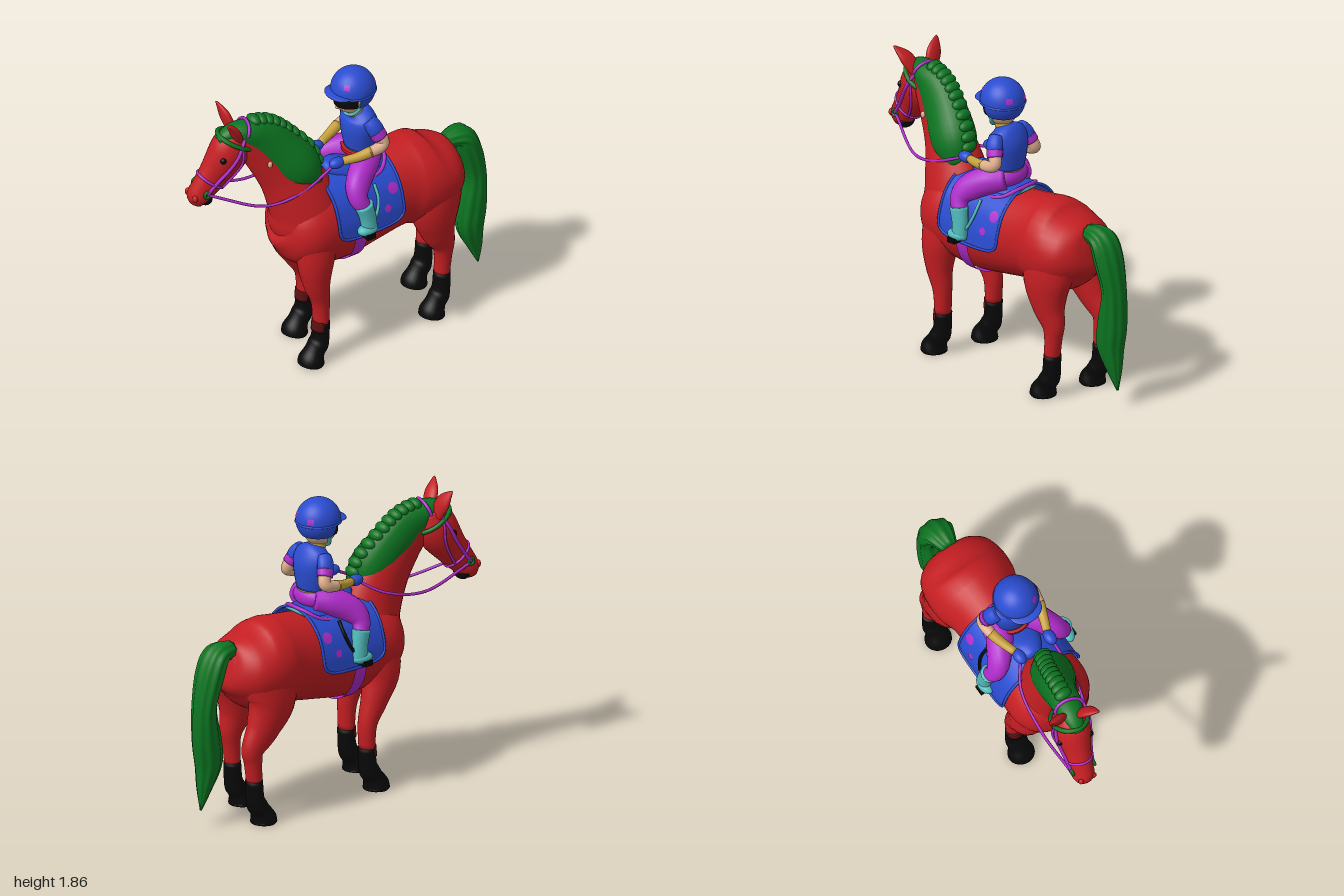
import * as THREE from 'three';
import { ParametricGeometry } from 'three/addons/geometries/ParametricGeometry.js';

const mat = (name, color, extra) => Object.assign(new THREE.MeshStandardMaterial({ color, ...extra }), { name });
const two = { side: THREE.DoubleSide };
const red = mat('coat red', 0xc41e22), green = mat('hair green', 0x0c7421), blue = mat('blue', 0x2a4cd0, two);
const purple = mat('purple', 0xb02ccb, two), teal = mat('teal', 0x4fb9ba), black = mat('black', 0x080808);
const skin = mat('skin', 0xe0b08c), gold = mat('gold', 0xc8a23e), darkRed = mat('dark red', 0x5c1010);
const V = (x, y, z) => new THREE.Vector3(x, y, z);

// Smooth body through stations [x, y, z, half width, half depth]; ends are capped
function section(st, flute = 0) {
  const mid = new THREE.CatmullRomCurve3(st.map(s => V(s[0], s[1], s[2])), false, 'catmullrom');
  const rad = new THREE.CatmullRomCurve3(st.map(s => V(s[3], s[4], 0)), false, 'catmullrom');
  return (u, a, k = 1) => {
    const t = mid.getTangent(u), r = rad.getPoint(u), c = mid.getPoint(u);
    const side = V(1, 0, 0).addScaledVector(t, -t.x).normalize();
    const other = t.clone().cross(side);
    const f = k * (1 + flute * Math.cos(a * 9));
    c.addScaledVector(side, Math.cos(a) * r.x * f).addScaledVector(other, Math.sin(a) * r.y * f);
    c.y = Math.max(0, c.y);
    return c;
  };
}
function loftGeometry(st, seg = 24, flute = 0) {
  const at = section(st, flute), rows = (st.length - 1) * 5, pos = [], idx = [];
  for (let i = 0; i <= rows; i++)
    for (let j = 0; j < seg; j++) pos.push(...at(i / rows, j / seg * Math.PI * 2).toArray());
  pos.push(...at(0, 0, 0).toArray(), ...at(1, 0, 0).toArray());
  const c0 = (rows + 1) * seg, c1 = c0 + 1;
  for (let j = 0; j < seg; j++) {
    const n = (j + 1) % seg;
    for (let i = 0; i < rows; i++) {
      const a = i * seg + j, b = i * seg + n;
      idx.push(a, b, a + seg, b, b + seg, a + seg);
    }
    idx.push(c0, n, j, c1, rows * seg + j, rows * seg + n);
  }
  const g = new THREE.BufferGeometry();
  g.setAttribute('position', new THREE.Float32BufferAttribute(pos, 3));
  g.setIndex(idx);
  g.computeVertexNormals();
  return g;
}

export function createModel() {
  const root = new THREE.Group();
  const rider = new THREE.Group();
  rider.name = 'rider';
  rider.position.x = 0.01;
  root.add(rider);
  const add = (name, geo, m, parent = root) => {
    const mesh = new THREE.Mesh(geo, m);
    mesh.name = name;
    parent.add(mesh);
    return mesh;
  };
  const loft = (name, st, m, parent, seg, flute) => add(name, loftGeometry(st, seg, flute), m, parent);
  const ball = (name, p, s, m, parent) => {
    const b = add(name, new THREE.SphereGeometry(1, 24, 16), m, parent);
    b.position.set(...p);
    b.scale.set(...s);
    return b;
  };
  const tube = (name, pts, r, m, parent, closed = false) =>
    add(name, new THREE.TubeGeometry(new THREE.CatmullRomCurve3(pts, closed), 64, r, 8, closed), m, parent);

  // Horse barrel, neck and head
  loft('body', [[0, .97, -.765, .06, .08], [0, .965, -.745, .15, .14], [0, .95, -.68, .235, .19], [0, .925, -.57, .27, .26],
    [0, .92, -.44, .265, .285], [0, .92, -.32, .232, .27], [0, .89, -.1, .23, .275], [0, .87, .07, .24, .28],
    [0, .885, .22, .256, .275], [0, .9, .35, .25, .25], [0, .91, .44, .2, .2], [0, .915, .49, .12, .13], [0, .92, .505, .04, .04]], red, root, 32);
  loft('neck', [[0, .84, .24, .22, .24], [0, .96, .29, .225, .235], [0, 1.08, .325, .18, .215], [-.03, 1.27, .41, .13, .18],
    [-.06, 1.43, .52, .1, .145], [-.09, 1.56, .62, .085, .12], [-.1, 1.63, .68, .07, .09]], red, root, 32);
  const headStations = [[-.12, 1.63, .68, .075, .08], [-.13, 1.56, .72, .105, .125], [-.14, 1.48, .76, .11, .13],
    [-.16, 1.37, .835, .085, .105], [-.175, 1.28, .905, .07, .085], [-.185, 1.23, .94, .068, .072], [-.19, 1.185, .955, .045, .04]];
  loft('head', headStations, red);
  const head = section(headStations);
  loft('leftEar', [[-.085, 1.6, .72, .04, .025], [-.045, 1.7, .775, .05, .026], [-.01, 1.76, .825, .018, .01], [0, 1.775, .84, .003, .003]], red);
  loft('rightEar', [[-.17, 1.6, .7, .045, .025], [-.22, 1.7, .72, .055, .026], [-.262, 1.765, .74, .02, .01], [-.272, 1.78, .75, .003, .003]], red);
  ball('lowerLip', [-.176, 1.21, .902], [.06, .045, .046], black);
  for (const [a, n] of [[.72, .85], [Math.PI - .25, Math.PI - .85]]) {
    ball('eye', head(.35, a, .97).toArray(), [.018, .02, .018], black);
    ball('nostril', head(.84, n, .95).toArray(), [.018, .024, .016], red);
  }

  // Legs: the left pair stands a little further forward
  for (const s of [1, -1]) {
    const shift = (st, dz) => st.map(([x, y, z, w, d]) => [x * s, y, z + (s < 0 ? dz * Math.min(1, Math.max(0, (.78 - y) / .3)) : 0), w, d]);
    loft('frontLeg', shift([[.13, .92, .29, .1, .15], [.148, .72, .325, .105, .12], [.158, .56, .325, .08, .085],
      [.16, .42, .3, .06, .057], [.16, .27, .295, .055, .046]], -.11), red);
    loft('sockTop', shift([[.16, .285, .305, .053, .045], [.16, .22, .31, .053, .046]], -.11), darkRed);
    loft('hindLeg', shift([[.12, .95, -.57, .13, .175], [.153, .76, -.535, .115, .165], [.16, .6, -.55, .088, .115],
      [.16, .48, -.588, .062, .077], [.16, .4, -.59, .053, .057], [.16, .27, -.58, .05, .047]], -.1), red);
    for (const [z, dz, top] of [[.295, -.11, .275], [-.58, -.1, .28]])
      loft('sockAndHoof', shift([[.16, top, z - .002, .056, .05], [.16, .17, z + .005, .058, .053], [.16, .12, z + .02, .067, .06],
        [.16, .08, z + .045, .064, .06], [.16, .03, z + .068, .08, .076], [.16, 0, z + .073, .082, .08]], dz), black);
  }

  // Mane with a row of braids, forelock and tail
  const maneStations = [[.03, 1.19, .265, .09, .07], [0, 1.315, .35, .128, .147], [-.05, 1.465, .47, .11, .147],
    [-.08, 1.565, .57, .095, .132], [-.1, 1.625, .66, .087, .08], [-.12, 1.645, .745, .06, .045], [-.135, 1.61, .83, .03, .022]];
  loft('mane', maneStations, green);
  const mane = section(maneStations);
  for (let i = 0; i < 11; i++)
    ball('maneBraid', mane(.1 + i * .053, Math.PI / 2, .9).toArray(), [.055, .036, .036], green);
  ball('manePatch', [.034, 1.425, .572], [.012, .022, .016], skin);
  loft('tail', [[0, 1.07, -.72, .05, .05], [0, 1.06, -.83, .09, .065], [0, .95, -.885, .097, .075], [0, .75, -.93, .08, .068],
    [0, .55, -.915, .078, .09], [0, .4, -.9, .072, .088], [0, .25, -.93, .045, .05], [0, .11, -.957, .006, .006]], green, root, 54, .05);

  // Bridle and reins
  const band = (u, k) => Array.from({ length: 20 }, (_, i) => head(u, i / 20 * Math.PI * 2, k));
  tube('noseband', band(.57, 1), .009, purple, root, true);
  tube('browband', band(.13, 1.06), .014, green, root, true);
  tube('pollStrap', Array.from({ length: 11 }, (_, i) => mane(.7, i / 10 * Math.PI, 1.06)), .01, purple);
  for (const a of [.15, Math.PI - .15]) {
    tube('cheekStrap', [.02, .12, .25, .4, .55, .68].map(u => head(u, a, 1.05)), .011, purple);
    tube('throatStrap', [.1, .2, .32, .44, .57].map((u, i) => head(u, a < 1 ? a - i * .22 : a + i * .22, 1.04)), .008, purple);
    const ring = add('bitRing', new THREE.TorusGeometry(.02, .009, 8, 20), green);
    ring.position.copy(head(.68, a, 1.06));
    ring.rotation.y = Math.PI / 2;
  }
  tube('leftRein', [V(.12, 1.32, .15), V(.12, 1.21, .4), V(.06, 1.165, .62), head(.68, 0, 1.06)], .009, purple);
  tube('rightRein', [V(-.09, 1.32, .15), V(-.19, 1.23, .3), V(-.23, 1.18, .57), head(.68, Math.PI, 1.06)], .009, purple);

  // Saddle pad bent over the back, with rounded lower corners
  const half = [[.275, .86], [.262, .97], [.21, 1.1], [.11, 1.185]];
  const bend = new THREE.CatmullRomCurve3([...half.map(p => V(-p[0], p[1], 0)), V(0, 1.21, 0), ...half.reverse().map(p => V(p[0], p[1], 0))]);
  const padPoint = (u, v, t) => {
    const q = Math.max(0, 1 - Math.min(v, 1 - v) / .075);
    t.copy(bend.getPointAt(v));
    t.z = (2 * u - 1) * (.232 - .07 * (1 - Math.sqrt(1 - q * q)));
    return t;
  };
  add('saddlePad', new ParametricGeometry(padPoint, 12, 80), blue);
  const edge = [];
  for (let i = 0; i <= 40; i++) edge.push(padPoint(0, i / 40, V(0, 0, 0)));
  for (let i = 40; i >= 0; i--) edge.push(padPoint(1, i / 40, V(0, 0, 0)));
  add('padPiping', new THREE.TubeGeometry(new THREE.CatmullRomCurve3(edge, true), 200, .009, 6, true), blue);
  for (const [u, v, size] of [[.12, .78, 1.2], [.25, .89, .8], [.12, .22, 1.2], [.25, .11, .8]]) {
    const spot = add('padSpot', new ParametricGeometry((a, r, t) =>
      padPoint(u + .06 * size * r * Math.cos(a * Math.PI * 2), v + .03 * size * r * Math.sin(a * Math.PI * 2), t), 16, 2), purple);
    spot.scale.x = 1.018;
  }
  loft('saddle', [[0, 1.24, .17, .04, .03], [0, 1.21, .1, .09, .06], [0, 1.17, -.02, .13, .055], [0, 1.17, -.15, .13, .05],
    [0, 1.2, -.22, .09, .02]], blue);
  for (const [name, dy, m] of [['cantleTrim', 0, purple], ['cantleEdge', -.022, teal]])
    tube(name, [[-.16, 1.135, -.06], [-.14, 1.165, -.16], [-.07, 1.21, -.225], [.07, 1.21, -.225], [.14, 1.165, -.16], [.16, 1.135, -.06]]
      .map(([x, y, z]) => V(x * (1 - dy * 3), y + dy, z)), .012, m);
  const girth = add('girth', new THREE.CylinderGeometry(1, 1, .088, 48, 1, true), purple);
  girth.rotation.x = Math.PI / 2;
  girth.scale.set(.253, 1, .291);
  girth.position.set(0, .87, .065);

  // Rider's trunk
  ball('hips', [0, 1.255, -.1], [.13, .075, .09], purple, rider);
  loft('waistband', [[0, 1.285, -.09, .1, .085], [0, 1.32, -.09, .106, .09]], gold, rider);
  loft('belt', [[0, 1.275, -.07, .108, .085], [0, 1.3, -.07, .108, .085]], red, rider);
  loft('shirt', [[0, 1.305, -.09, .104, .088], [0, 1.38, -.09, .12, .1], [0, 1.46, -.088, .134, .104],
    [0, 1.525, -.08, .122, .085], [0, 1.565, -.065, .055, .055]], blue, rider);
  loft('collar', [[0, 1.55, -.06, .056, .056], [0, 1.585, -.05, .05, .05]], gold, rider);

  // Rider's arms and legs
  for (const s of [1, -1]) {
    const limb = (name, st, m) => loft(name, st.map(([x, ...r]) => [x * s, ...r]), m, rider, 16);
    limb('sleeve', [[.1, 1.525, -.085, .04, .045], [.13, 1.49, -.1, .045, .052], [.145, 1.45, -.115, .044, .05]], blue);
    limb('sleeveCuff', [[.142, 1.46, -.11, .046, .052], [.158, 1.42, -.128, .045, .05]], purple);
    limb('upperArm', [[.15, 1.44, -.12, .038, .042], [.17, 1.39, -.14, .037, .04], [.178, 1.365, -.115, .036, .037], [.17, 1.348, -.04, .032, .033]], skin);
    limb('forearm', [[.172, 1.352, -.055, .034, .035], [.145, 1.33, .03, .029, .029], [.115, 1.32, .11, .025, .025]], gold);
    ball('glove', [.108 * s, 1.318, .15], [.036, .034, .052], blue, rider);
    limb('breeches', [[.06, 1.25, -.13, .07, .07], [.12, 1.23, -.04, .082, .085], [.19, 1.175, .055, .07, .08],
      [.235, 1.11, .085, .055, .06], [.265, 1.04, .055, .042, .045]], purple);
    limb('boot', [[.262, 1.072, .065, .053, .058], [.273, .99, .045, .046, .052], [.283, .92, .038, .042, .05], [.287, .89, .04, .038, .05]], teal);
    ball('bootFoot', [.288 * s, .905, .055], [.045, .035, .068], teal, rider);
    const tread = add('stirrupTread', new THREE.BoxGeometry(.105, .032, .06), black, rider);
    tread.position.set(.287 * s, .88, .06);
    tube('stirrupLeather', [V(.2 * s, 1.14, -.055), V(.25 * s, 1.06, -.05), V(.275 * s, .98, -.02), V(.28 * s, .93, .02)], .01, s > 0 ? teal : black, rider);
  }

  // Rider's head, goggles and helmet
  ball('face', [0, 1.66, -.035], [.09, .1, .105], skin, rider);
  ball('nose', [0, 1.625, .068], [.014, .014, .014], skin, rider);
  const shell = (name, p, s, m, ...range) => {
    const h = add(name, new THREE.SphereGeometry(1, 40, 20, ...range), m, rider);
    h.position.set(...p);
    h.scale.set(...s);
  };
  const PI = Math.PI, dome = [0, 1.72, -.045], size = [.132, .135, .137], outer = size.map(v => v * 1.012);
  shell('goggles', [0, 1.66, -.035], [.1, .105, .115], black, PI * .06, PI * .88, PI * .37, PI * .21);
  shell('helmet', dome, size, blue, 0, PI * 2, 0, PI * .52);
  shell('helmetBack', dome, size, blue, PI * .92, PI * 1.16, PI * .5, PI * .23);
  for (const [phi, theta] of [[.66, .29], [1.62, .4], [1.28, .36]])
    shell('helmetSpot', dome, outer, purple, PI * phi, PI * .1, PI * theta, PI * .08);
  tube('helmetRim', Array.from({ length: 24 }, (_, i) => V(Math.cos(i * PI / 12) * .131, 1.712, -.045 + Math.sin(i * PI / 12) * .136)), .007, blue, rider, true);
  ball('helmetPeak', [0, 1.718, .055], [.105, .014, .078], blue, rider);
  tube('chinStrap', [V(-.1, 1.7, -.045), V(-.092, 1.64, -.04), V(-.055, 1.575, -.01), V(0, 1.555, .005),
    V(.055, 1.575, -.01), V(.092, 1.64, -.04), V(.1, 1.7, -.045)], .012, teal, rider);
  return root;
}
